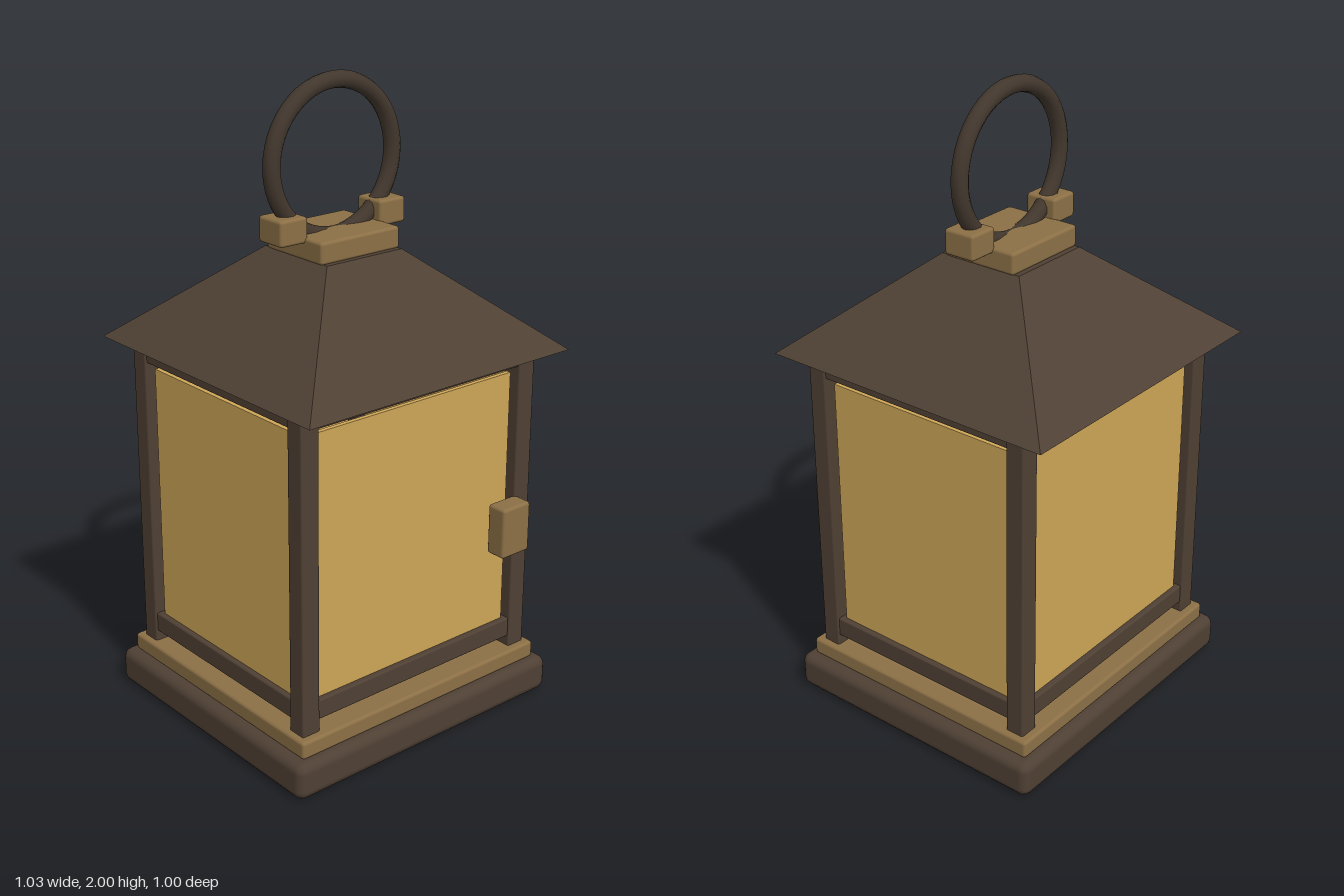
import * as THREE from 'three';
import { RoundedBoxGeometry } from 'three/addons/geometries/RoundedBoxGeometry.js';

const material = (name, color) => {
  const m = new THREE.MeshStandardMaterial({ color });
  m.name = name;
  return m;
};

export function createModel() {
  const lantern = new THREE.Group();
  lantern.name = 'lantern';
  const bronze = material('dark bronze', 0x4f4034);
  const iron = material('dark iron', 0x42372d);
  const brass = material('aged brass', 0x8c7046);
  const amber = material('amber glass', 0xcda556);

  const add = (name, geometry, mat, x = 0, y = 0, z = 0) => {
    const mesh = new THREE.Mesh(geometry, mat);
    mesh.name = name;
    mesh.position.set(x, y, z);
    lantern.add(mesh);
    return mesh;
  };
  // Softly rounded block, given its bottom and top heights
  const block = (name, mat, w, d, y0, y1, x = 0, z = 0, r = 0.01) =>
    add(name, new RoundedBoxGeometry(w, y1 - y0, d, 2, r), mat, x, (y0 + y1) / 2, z);

  // Stepped base
  block('base', bronze, 1.026, 0.93, 0, 0.118, 0, 0, 0.03);
  block('baseTrim', brass, 0.95, 0.865, 0.116, 0.172);

  // Corner posts
  for (const sx of [-1, 1]) for (const sz of [-1, 1])
    block('cornerPost', bronze, 0.064, 0.062, 0.165, 1.185, sx * 0.422, sz * 0.375, 0.006);

  // Rails and glass panes on all four sides
  for (const s of [-1, 1]) {
    for (const [y0, y1] of [[0.205, 0.27], [1.12, 1.18]]) {
      block('frontBackRail', bronze, 0.8, 0.05, y0, y1, 0, s * 0.375, 0.006);
      block('sideRail', bronze, 0.05, 0.71, y0, y1, s * 0.422, 0, 0.006);
    }
    add('frontBackPane', new THREE.BoxGeometry(0.75, 0.845, 0.015), amber, 0, 0.68, s * 0.375);
    add('sidePane', new THREE.BoxGeometry(0.015, 0.845, 0.655), amber, s * 0.422, 0.68, 0);
  }

  // Door latch
  block('latch', brass, 0.114, 0.07, 0.53, 0.695, 0.348, 0.427);

  // Candle holder inside
  add('candleHolder', new THREE.CylinderGeometry(0.08, 0.08, 0.06, 24), brass, 0, 0.222, 0);

  // Hipped roof
  const roof = new THREE.CylinderGeometry(0.143 * Math.SQRT2, 0.5 * Math.SQRT2, 0.3, 4).toNonIndexed();
  roof.rotateY(Math.PI / 4);
  roof.computeVertexNormals();
  add('roof', roof, bronze, 0, 1.328, 0);

  // Roof cap, ring brackets and carrying ring
  block('roofCap', brass, 0.3, 0.255, 1.475, 1.543);
  for (const s of [-1, 1])
    block('ringBracket', brass, 0.1, 0.106, 1.526, 1.605, s * 0.188, 0);
  add('carryingRing', new THREE.TorusGeometry(0.228, 0.026, 10, 48), iron, 0, 1.746, 0);

  return lantern;
}
